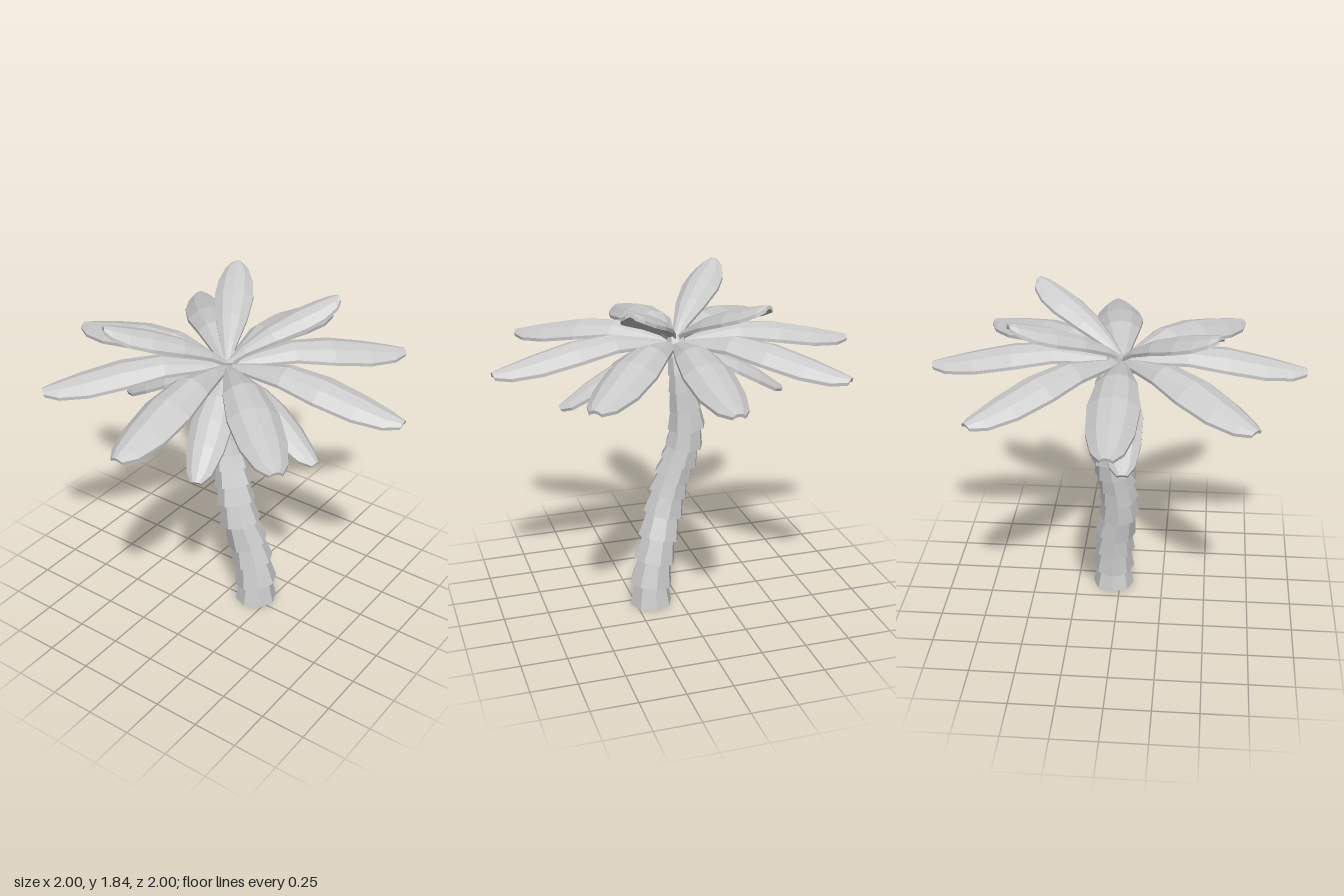
import * as THREE from 'three';

const material = new THREE.MeshStandardMaterial({ color: 0xcccccc, flatShading: true });
const CROWN = new THREE.Vector3(-0.02, 0, 0);

// Leaf profiles: [distance along length 0..1, height of the crest]
const PROFILES = {
  level: [[0, 1.52], [0.13, 1.555], [0.35, 1.6], [0.57, 1.583], [0.78, 1.535], [0.93, 1.495], [1, 1.475]],
  raised: [[0, 1.54], [0.13, 1.61], [0.36, 1.7], [0.62, 1.77], [0.8, 1.805], [0.94, 1.83], [1, 1.835]],
  drooping: [[0, 1.5], [0.15, 1.49], [0.35, 1.455], [0.55, 1.395], [0.76, 1.31], [0.93, 1.225], [1, 1.19]],
};
const WIDTHS = [0.16, 0.4, 0.8, 1, 0.9, 0.6, 0.25];
// Arched cross-section: [side, drop], both as fractions
const ARCH = [[1, 1], [0.55, 0.28], [0, 0], [-0.55, 0.28], [-1, 1]];

// One thin arched leaf running along +z, built from closed rings
function leafGeometry(profile, length, halfWidth) {
  const thickness = 0.018, positions = [], index = [];
  const n = profile.length, ring = ARCH.length * 2;
  profile.forEach(([t, y], i) => {
    const a = profile[Math.max(i - 1, 0)], b = profile[Math.min(i + 1, n - 1)];
    const normal = new THREE.Vector2(-(b[1] - a[1]), (b[0] - a[0]) * length).normalize(); // (z, y)
    const w = halfWidth * WIDTHS[i], drop = w * 0.5;
    const add = ([s, d], depth) => {
      const h = -d * drop - depth;
      positions.push(s * w, y + normal.y * h, t * length + normal.x * h);
    };
    ARCH.forEach((p) => add(p, 0));
    [...ARCH].reverse().forEach((p) => add(p, thickness));
  });
  for (let i = 0; i < n - 1; i++) {
    for (let j = 0; j < ring; j++) {
      const k = (j + 1) % ring;
      const a = i * ring + j, b = i * ring + k, c = b + ring, d = a + ring;
      index.push(a, b, c, a, c, d);
    }
  }
  // Tip and base caps
  const last = (n - 1) * ring;
  for (let j = 0; j < ARCH.length - 1; j++) {
    const a = j, b = j + 1, c = ring - 2 - j, d = ring - 1 - j;
    index.push(last + a, last + b, last + c, last + a, last + c, last + d);
    index.push(a, c, b, a, d, c);
  }
  const geometry = new THREE.BufferGeometry();
  geometry.setAttribute('position', new THREE.Float32BufferAttribute(positions, 3));
  geometry.setIndex(index);
  geometry.computeVertexNormals();
  return geometry;
}

function createLeaf(name, kind, x, z, halfWidth) {
  const dx = x - CROWN.x, dz = z - CROWN.z;
  const leaf = new THREE.Mesh(leafGeometry(PROFILES[kind], Math.hypot(dx, dz), halfWidth), material);
  leaf.name = name;
  leaf.position.copy(CROWN);
  leaf.rotation.y = Math.atan2(dx, dz);
  return leaf;
}

// Leaning trunk of overlapping flared collars: [x, y, z, bottom radius]
function createTrunk() {
  const trunk = new THREE.Group();
  trunk.name = 'trunk';
  const rings = [
    [0.04, 0, 0.16, 0.12], [0.04, 0.125, 0.16, 0.122], [0.035, 0.265, 0.138, 0.12],
    [0.025, 0.395, 0.11, 0.117], [0.0, 0.535, 0.075, 0.116], [0.0, 0.66, 0.045, 0.11],
    [0.01, 0.76, 0.02, 0.107], [0.025, 0.855, -0.01, 0.106], [0.04, 0.95, -0.035, 0.106],
    [0.053, 1.06, -0.045, 0.106], [0.058, 1.17, -0.036, 0.09], [0.06, 1.275, -0.02, 0.078],
    [0.058, 1.37, -0.01, 0.07], [0.045, 1.45, 0, 0.062], [0.01, 1.54, 0, 0.05],
  ];
  const up = new THREE.Vector3(0, 1, 0);
  for (let i = 0; i < rings.length - 1; i++) {
    const start = new THREE.Vector3(...rings[i]), end = new THREE.Vector3(...rings[i + 1]);
    const axis = end.clone().sub(start), length = axis.length() + 0.015;
    axis.normalize();
    const geometry = new THREE.CylinderGeometry(rings[i][3] * 0.76, rings[i][3], length, 8);
    geometry.translate(0, length / 2, 0);
    const collar = new THREE.Mesh(geometry, material);
    collar.name = 'trunkCollar' + (i + 1);
    collar.position.copy(start);
    collar.quaternion.setFromUnitVectors(up, axis);
    trunk.add(collar);
  }
  return trunk;
}

export function createModel() {
  const model = new THREE.Group();
  model.name = 'palmTree';
  model.add(createTrunk());

  // Leaf tips as [x, z] for each tier of the crown
  const tiers = [
    ['level', 0.132, [[-0.02, -1], [0.69, -0.71], [1, 0], [0.76, 0.63], [0.08, 1], [-0.66, 0.74], [-1, 0.06], [-0.72, -0.67]]],
    ['raised', 0.105, [[-0.53, -0.39], [0.52, -0.32], [0.46, 0.37]]],
    ['drooping', 0.108, [[-0.61, 0.23], [-0.11, 0.625], [-0.07, -0.65]]],
  ];
  const crown = new THREE.Group();
  crown.name = 'crown';
  for (const [kind, halfWidth, tips] of tiers) {
    tips.forEach(([x, z], i) => crown.add(createLeaf(`${kind}Leaf${i + 1}`, kind, x, z, halfWidth)));
  }
  model.add(crown);
  return model;
}
